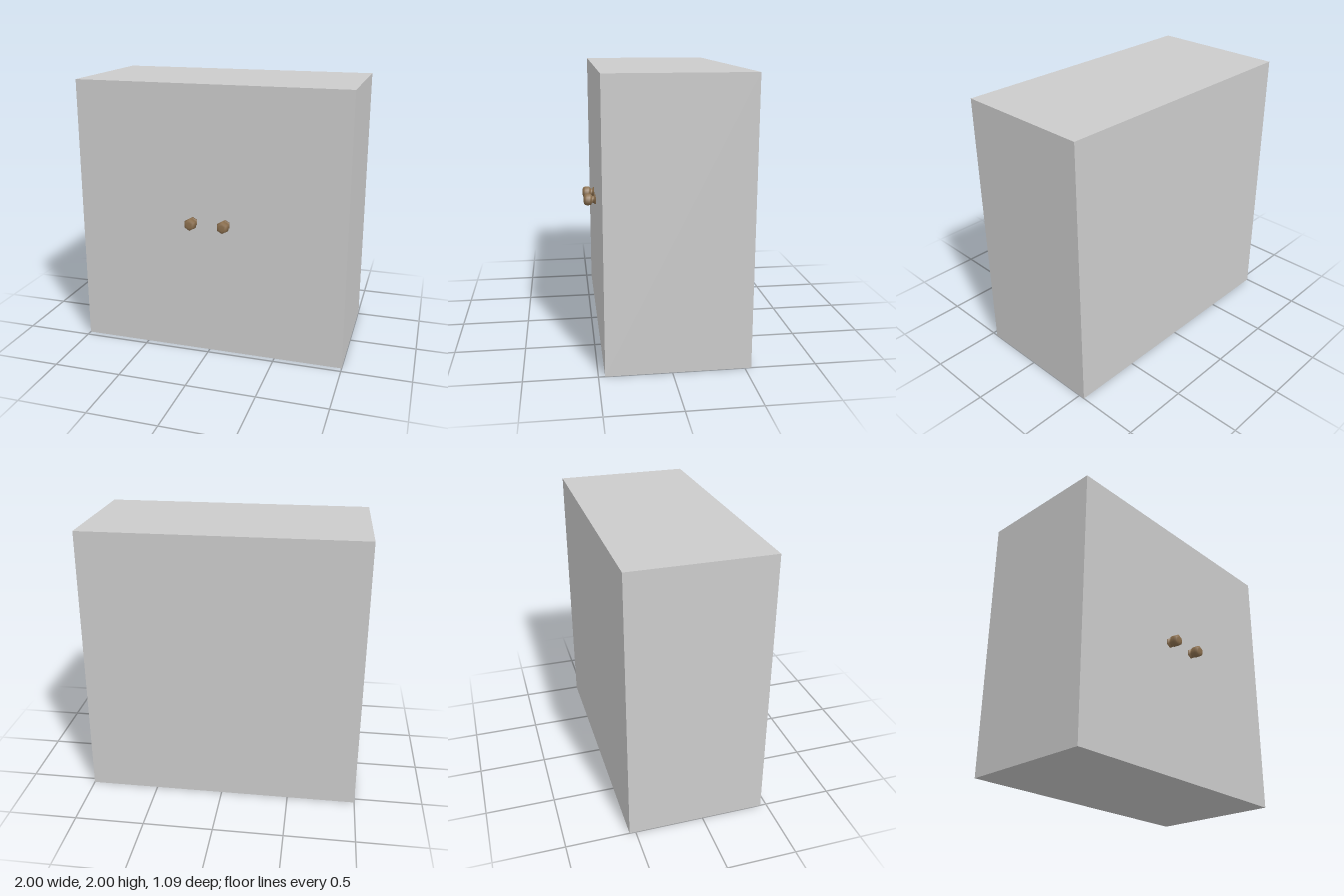
import * as THREE from 'three';

export function createModel() {
  const group = new THREE.Group();
  const grey = new THREE.MeshStandardMaterial({ color: 0xcccccc });
  const brown = new THREE.MeshStandardMaterial({ color: 0x8b6f4e });
  const frontZ = 0.455;

  // Plain closed cabinet body
  const body = new THREE.Mesh(new THREE.BoxGeometry(2, 2, 1), grey);
  body.name = 'cabinetBody';
  body.position.set(0, 1, frontZ - 0.5);
  group.add(body);

  // Six-sided turned knob: flange, neck and rounded head (radius, distance from the front)
  const profile = [
    [0, 0], [0.038, 0], [0.038, 0.009], [0.028, 0.012], [0.026, 0.022],
    [0.03, 0.028], [0.041, 0.035], [0.045, 0.046], [0.045, 0.066],
    [0.042, 0.079], [0.034, 0.087], [0.02, 0.09], [0, 0.09],
  ].map(([r, d]) => new THREE.Vector2(r, d));
  const knobGeometry = new THREE.LatheGeometry(profile, 6).rotateX(Math.PI / 2);

  for (const side of [-1, 1]) {
    const knob = new THREE.Mesh(knobGeometry, brown);
    knob.name = side > 0 ? 'leftKnob' : 'rightKnob';
    knob.position.set(side * 0.122, 1.005, frontZ);
    group.add(knob);
  }
  return group;
}
